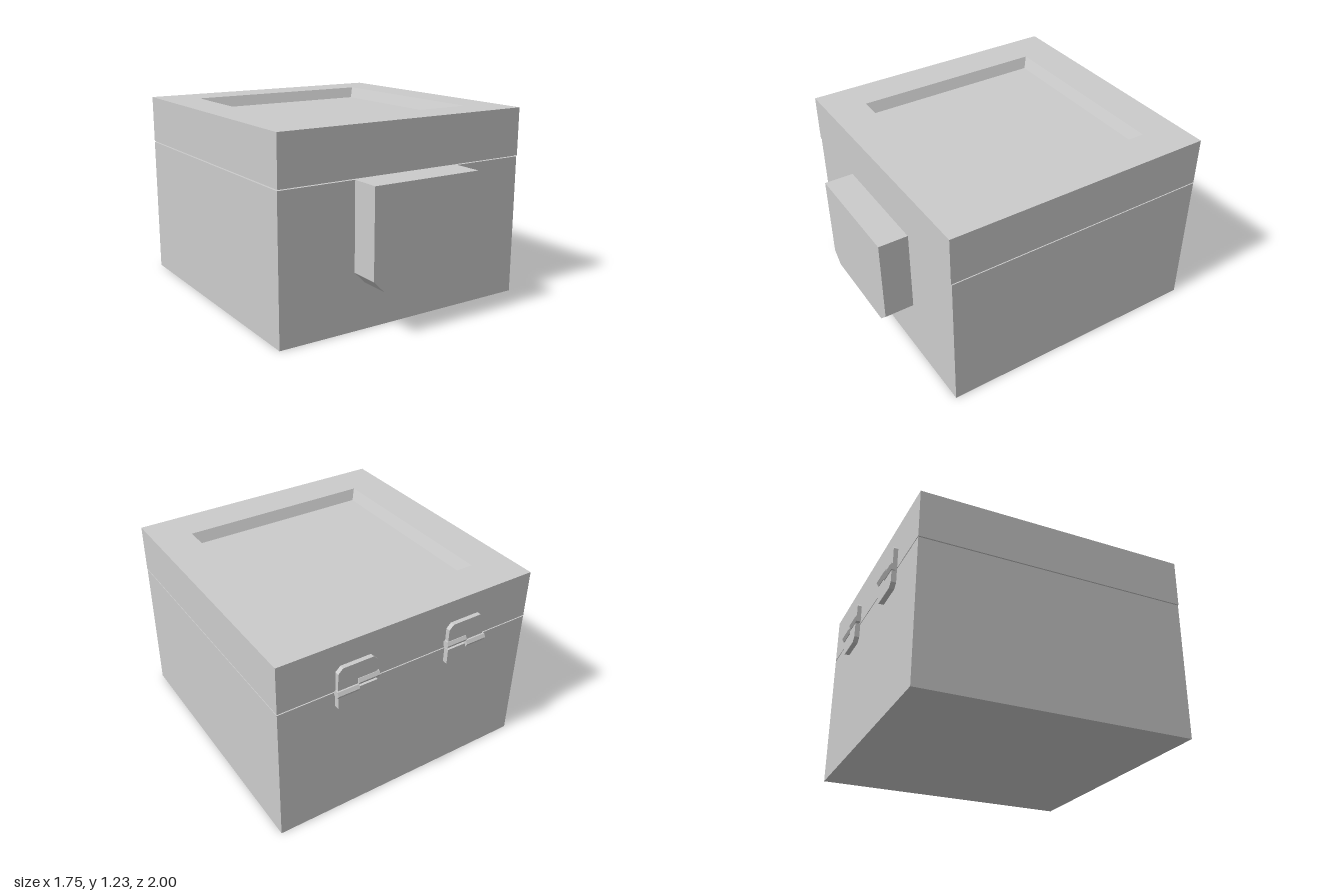
import * as THREE from 'three';

const material = new THREE.MeshStandardMaterial({ color: 0xcccccc, flatShading: true });

function add(parent, name, geometry, x = 0, y = 0, z = 0) {
  const mesh = new THREE.Mesh(geometry, material);
  mesh.name = name;
  mesh.position.set(x, y, z);
  parent.add(mesh);
  return mesh;
}

// Closed solid through rectangular rings given as [halfWidth, back, front, y]
function ringSolid(rings) {
  const positions = [], index = [];
  rings.forEach(([w, back, front, y], i) => {
    positions.push(-w, y, front, w, y, front, w, y, back, -w, y, back);
    if (i === 0) return;
    for (let k = 0; k < 4; k++) {
      const a = (i - 1) * 4 + k, b = (i - 1) * 4 + (k + 1) % 4;
      index.push(a, b, b + 4, a, b + 4, a + 4);
    }
  });
  const t = (rings.length - 1) * 4;
  index.push(0, 2, 1, 0, 3, 2, t, t + 1, t + 2, t, t + 2, t + 3);
  const indexed = new THREE.BufferGeometry();
  indexed.setAttribute('position', new THREE.Float32BufferAttribute(positions, 3));
  indexed.setIndex(index);
  const geometry = indexed.toNonIndexed();
  geometry.computeVertexNormals();
  return geometry;
}

// Plate whose two lower corners are cut off; extruded towards +z
function cutPlate(halfWidth, height, cut, depth) {
  const w = halfWidth;
  const shape = new THREE.Shape([
    [-w, height], [-w, cut], [-w + cut, 0], [w - cut, 0], [w, cut], [w, height],
  ].map(([x, y]) => new THREE.Vector2(x, y)));
  return new THREE.ExtrudeGeometry(shape, { depth, bevelEnabled: false });
}

// Hinge with two leaves and a stepped pair of six-sided knuckles
function createHinge(side) {
  const hinge = new THREE.Group();
  hinge.name = side > 0 ? 'leftHinge' : 'rightHinge';
  hinge.position.x = side * 0.38;
  add(hinge, 'lowerLeaf', cutPlate(0.13, 0.13, 0.03, 0.035), 0, 0.785, -0.983);
  const upper = add(hinge, 'upperLeaf', cutPlate(0.13, 0.15, 0.03, 0.03), 0, 1.08, -0.978);
  upper.geometry.rotateZ(Math.PI);
  const knuckle = new THREE.CylinderGeometry(0.025, 0.025, 0.14, 6).rotateZ(Math.PI / 2);
  add(hinge, 'outerKnuckle', knuckle, side * 0.07, 0.915, -0.975);
  add(hinge, 'innerKnuckle', knuckle, -side * 0.07, 0.95, -0.968);
  return hinge;
}

export function createModel() {
  const model = new THREE.Group();
  model.name = 'hingedBox';

  // Box body
  add(model, 'body', new THREE.BoxGeometry(1.75, 0.91, 1.76), 0, 0.455, -0.07);

  // Lid with a sloped recess in its top
  add(model, 'lid', ringSolid([
    [0.875, -0.95, 0.815, 0.917],
    [0.875, -0.95, 0.815, 1.225],
    [0.63, -0.7, 0.565, 1.225],
    [0.6, -0.67, 0.535, 1.155],
  ]));

  // Block on the front with cut lower corners
  add(model, 'latchBlock', cutPlate(0.375, 0.62, 0.072, 0.19), 0, 0.29, 0.81);

  // Hinges on the back
  for (const side of [-1, 1]) model.add(createHinge(side));

  return model;
}
